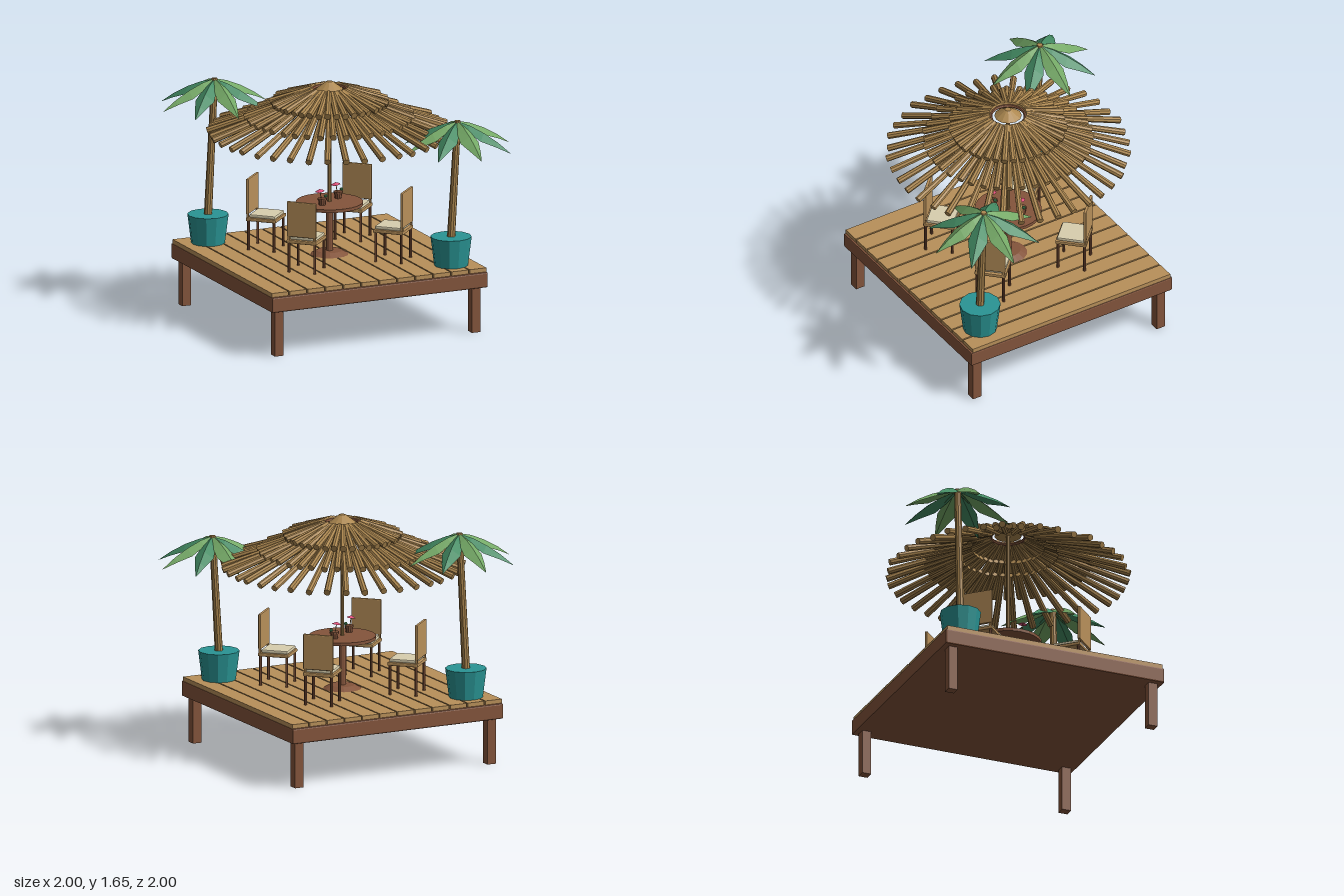
import * as THREE from 'three';
import { RoundedBoxGeometry } from 'three/addons/geometries/RoundedBoxGeometry.js';

const mat = (color, extra = {}) => new THREE.MeshStandardMaterial({ color, flatShading: true, ...extra });
const M = {
  plank: mat(0xb8905a),
  wood: mat(0x84553c),
  straw: mat(0xad8850),
  cushion: mat(0xd9cfae),
  teal: mat(0x2a9594),
  leafLight: mat(0x74a866, { side: THREE.DoubleSide }),
  leafDark: mat(0x448c64, { side: THREE.DoubleSide }),
  pink: mat(0xe0507a, { side: THREE.DoubleSide }),
  green: mat(0x4f9a62),
};
const CX = -0.05;      // centre of deck, table and roof
const DECK = 0.45;     // walking height

function add(parent, name, geometry, material, x = 0, y = 0, z = 0) {
  const mesh = new THREE.Mesh(geometry, material);
  mesh.name = name;
  mesh.position.set(x, y, z);
  parent.add(mesh);
  return mesh;
}

function group(parent, name, x = 0, y = 0, z = 0) {
  const g = new THREE.Group();
  g.name = name;
  g.position.set(x, y, z);
  parent.add(g);
  return g;
}

// Round bar running from point a to point b
function bar(parent, name, a, b, rA, rB, sides, material) {
  const dir = b.clone().sub(a);
  const mesh = add(parent, name, new THREE.CylinderGeometry(rB, rA, dir.length(), sides), material);
  mesh.position.copy(a).add(b).multiplyScalar(0.5);
  mesh.quaternion.setFromUnitVectors(new THREE.Vector3(0, 1, 0), dir.normalize());
  return mesh;
}
const V = (x, y, z) => new THREE.Vector3(x, y, z);

function buildDeck(root) {
  const deck = group(root, 'deck', CX);
  add(deck, 'deckFrame', new RoundedBoxGeometry(1.61, 0.107, 1.61, 1, 0.01), M.wood, 0, 0.3685, 0);
  const pitch = 1.61 / 12;
  for (let i = 0; i < 12; i++) {
    add(deck, 'plank', new THREE.BoxGeometry(pitch - 0.01, 0.03, 1.58), M.plank, (i - 5.5) * pitch, 0.435, 0);
  }
  for (const x of [-0.735, 0.735]) for (const z of [-0.735, 0.735]) {
    add(deck, 'deckLeg', new THREE.BoxGeometry(0.065, 0.32, 0.065), M.wood, x, 0.16, z);
  }
}

function buildTable(root) {
  const table = group(root, 'table', CX);
  add(table, 'tableBase', new THREE.CylinderGeometry(0.085, 0.13, 0.025, 16), M.wood, 0, 0.4625, 0);
  add(table, 'tablePedestal', new THREE.CylinderGeometry(0.023, 0.023, 0.33, 12), M.wood, 0, 0.635, 0);
  add(table, 'tableTop', new THREE.CylinderGeometry(0.228, 0.228, 0.022, 24), M.wood, 0, 0.804, 0);
  add(table, 'parasolPole', new THREE.CylinderGeometry(0.013, 0.013, 0.83, 10), M.straw, 0, 1.215, 0);
  // Cups with a cocktail umbrella and a green garnish
  for (const [x, z] of [[-0.085, 0.065], [0.09, -0.055]]) {
    const cup = group(table, 'cup', x, 0.815, z);
    add(cup, 'cupBody', new THREE.CylinderGeometry(0.028, 0.023, 0.04, 10), M.wood, 0, 0.02, 0);
    add(cup, 'cupRim', new THREE.CylinderGeometry(0.032, 0.032, 0.012, 10), M.wood, 0, 0.042, 0);
    bar(cup, 'umbrellaStick', V(-0.006, 0.04, 0), V(-0.018, 0.105, 0), 0.003, 0.003, 6, M.straw);
    add(cup, 'umbrella', new THREE.ConeGeometry(0.032, 0.016, 8, 1, true), M.pink, -0.018, 0.105, 0).rotation.z = 0.15;
    add(cup, 'garnish', new THREE.IcosahedronGeometry(0.013, 0), M.green, 0.025, 0.06, 0);
  }
}

// Chair faces -z locally, its back stands at +z
function buildChair(root, angle) {
  const r = 0.457;
  const chair = group(root, 'chair', CX + r * Math.sin(angle), 0, r * Math.cos(angle));
  chair.rotation.y = angle;
  add(chair, 'chairSeat', new RoundedBoxGeometry(0.215, 0.024, 0.215, 1, 0.006), M.plank, 0, 0.665, 0);
  add(chair, 'chairCushion', new RoundedBoxGeometry(0.19, 0.024, 0.185, 1, 0.008), M.cushion, 0, 0.687, -0.006);
  add(chair, 'chairBack', new RoundedBoxGeometry(0.21, 0.245, 0.02, 1, 0.006), M.plank, 0, 0.8225, 0.097);
  for (const x of [-0.092, 0.092]) {
    add(chair, 'chairBackPost', new THREE.BoxGeometry(0.016, 0.06, 0.014), M.plank, x, 0.69, 0.097);
    for (const z of [-0.092, 0.092]) {
      add(chair, 'chairLeg', new THREE.CylinderGeometry(0.01, 0.01, 0.21, 8), M.wood, x, 0.552, z);
    }
  }
}

function buildRoof(root) {
  const roof = group(root, 'roof', CX);
  // Each tier: inner radius and height, outer radius and height, number of bars
  const tiers = [
    [0.12, 1.602, 0.395, 1.507, 40, 0],
    [0.25, 1.525, 0.57, 1.405, 40, 0.5],
    [0.34, 1.472, 0.82, 1.302, 40, 0.1],
  ];
  for (const [r0, y0, r1, y1, n, shift] of tiers) {
    for (let i = 0; i < n; i++) {
      const a = ((i + shift) / n) * Math.PI * 2;
      const wob = 0.008 * Math.sin(i * 2.4);
      const s = Math.sin(a), c = Math.cos(a), out = r1 + wob;
      bar(roof, 'roofBar', V(r0 * s, y0 + wob * 0.4, r0 * c), V(out * s, y1 + wob * 0.6, out * c), 0.019, 0.023, 8, M.straw);
    }
  }
  const ring = add(roof, 'roofRing', new THREE.TorusGeometry(0.118, 0.012, 6, 24), M.wood, 0, 1.595, 0);
  ring.rotation.x = Math.PI / 2;
  add(roof, 'roofCap', new THREE.CylinderGeometry(0.022, 0.093, 0.052, 12), M.straw, 0, 1.628, 0);
}

// Folded palm leaf along +x: a bent ridge with two drooping edges
function leafGeometry() {
  // distance out, ridge height, half width, edge height
  const sections = [
    [0.0, 0.0, 0.012, -0.006],
    [0.09, -0.022, 0.048, -0.055],
    [0.19, -0.065, 0.066, -0.108],
    [0.29, -0.122, 0.036, -0.147],
    [0.382, -0.19, 0.002, -0.191],
  ];
  const pos = [], index = [];
  for (const [x, ridge, w, edge] of sections) pos.push(x, edge, -w, x, ridge, 0, x, edge, w);
  for (let i = 0; i < sections.length - 1; i++) for (let j = 0; j < 2; j++) {
    const a = i * 3 + j, b = a + 1, c = a + 3, d = a + 4;
    index.push(a, b, c, b, d, c);
  }
  const g = new THREE.BufferGeometry();
  g.setAttribute('position', new THREE.Float32BufferAttribute(pos, 3));
  g.setIndex(index);
  g.computeVertexNormals();
  return g;
}

function buildPalm(root, potX, z, topX, topY) {
  const palm = group(root, 'palm');
  add(palm, 'palmPot', new THREE.CylinderGeometry(0.14, 0.115, 0.2, 12), M.teal, potX, DECK + 0.1, z);
  bar(palm, 'palmTrunk', V(potX, 0.64, z), V(topX, topY - 0.01, z), 0.028, 0.023, 10, M.straw);
  add(palm, 'palmCrown', new THREE.CylinderGeometry(0.02, 0.026, 0.03, 8), M.straw, topX, topY - 0.013, z);
  const leaf = leafGeometry();
  for (let i = 0; i < 8; i++) {
    const m = add(palm, 'palmLeaf', leaf, i % 2 ? M.leafDark : M.leafLight, topX, topY - (i % 2) * 0.004, z);
    m.rotation.y = (i * Math.PI) / 4;
  }
}

export function createModel() {
  const root = new THREE.Group();
  root.name = 'beachTerrace';
  buildDeck(root);
  buildTable(root);
  for (let i = 0; i < 4; i++) buildChair(root, Math.PI / 4 + (i * Math.PI) / 2);
  buildRoof(root);
  buildPalm(root, -0.667, -0.617, -0.618, 1.59);
  buildPalm(root, 0.567, 0.617, 0.615, 1.45);
  return root;
}
